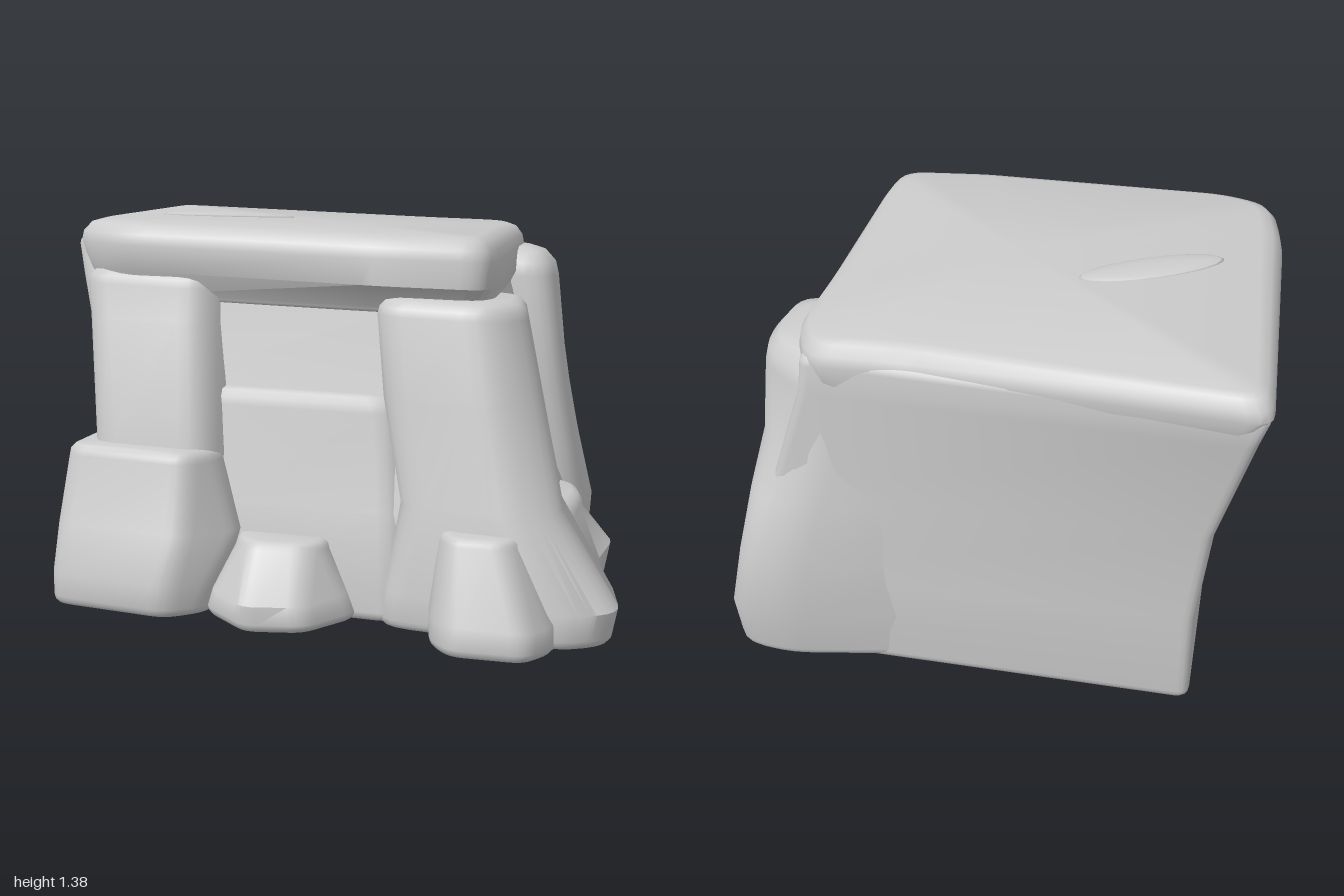
import * as THREE from 'three';
import { toCreasedNormals } from 'three/addons/utils/BufferGeometryUtils.js';

const stone = new THREE.MeshStandardMaterial({ color: 0xcccccc });
stone.name = 'stone';

// Rounds the corners of a closed [x, z] outline
function roundOutline(pts, r, steps = 5) {
  const out = [];
  pts.forEach((p, i) => {
    const c = new THREE.Vector2(...p);
    const toward = (q) => {
      const d = new THREE.Vector2(...q).sub(c);
      return c.clone().add(d.multiplyScalar(Math.min(0.45, r / d.length())));
    };
    const a = toward(pts[(i + pts.length - 1) % pts.length]);
    const b = toward(pts[(i + 1) % pts.length]);
    out.push(...new THREE.QuadraticBezierCurve(a, c, b).getPoints(steps - 1));
  });
  return out;
}

const middle = (ring) =>
  ring.reduce((s, p) => s.add(p), new THREE.Vector2()).divideScalar(ring.length);

// Pulls an outline toward its middle by about d
function inset(ring, d) {
  const m = middle(ring);
  return ring.map((p) => {
    const v = p.clone().sub(m);
    return p.clone().sub(v.multiplyScalar(Math.min(0.9, d / v.length())));
  });
}

// Weathered block: levels are [y, outline], with softened top and bottom edges
function rock(name, levels, { round = 0.09, top = 0.06, bottom = 0.03 } = {}) {
  const rings = levels.map(([y, pts]) => ({ y, pts: roundOutline(pts, round) }));
  const first = rings[0], last = rings[rings.length - 1];
  const bevel = (ring, b, s) => [0.3, 0.65, 1].map((k) => ({
    y: ring.y + s * b * Math.sin(k * Math.PI / 2),
    pts: inset(ring.pts, b * (1 - Math.cos(k * Math.PI / 2))),
  }));
  const all = [...bevel(first, bottom, -1).reverse(), ...rings, ...bevel(last, top, 1)];
  const n = first.pts.length, pos = [], idx = [];
  const put = (x, y, z) => pos.push(x, y - 0.035 * x, z); // whole outcrop leans slightly
  all.forEach((r) => r.pts.forEach((p) => put(p.x, r.y, p.y)));
  for (let i = 0; i < all.length - 1; i++) {
    for (let j = 0; j < n; j++) {
      const a = i * n + j, b = i * n + (j + 1) % n;
      idx.push(a, b, b + n, a, b + n, a + n);
    }
  }
  for (const [k, up] of [[0, false], [all.length - 1, true]]) {
    const m = middle(all[k].pts), c = pos.length / 3;
    put(m.x, all[k].y, m.y);
    for (let j = 0; j < n; j++) {
      const a = k * n + j, b = k * n + (j + 1) % n;
      idx.push(c, up ? a : b, up ? b : a);
    }
  }
  const g = new THREE.BufferGeometry();
  g.setAttribute('position', new THREE.Float32BufferAttribute(pos, 3));
  g.setIndex(idx);
  const mesh = new THREE.Mesh(toCreasedNormals(g, 0.75), stone);
  mesh.name = name;
  return mesh;
}

export function createModel() {
  const group = new THREE.Group();
  group.name = 'rockOutcrop';

  // Main mass: flush left and back walls, recessed front and right faces
  group.add(rock('core', [
    [0.08, [[-0.8, -0.87], [-0.79, 0.66], [0.75, 0.7], [0.87, 0.25], [0.83, -0.8]]],
    [0.4, [[-0.8, -0.87], [-0.79, 0.62], [0.68, 0.64], [0.74, 0.2], [0.74, -0.82]]],
    [0.75, [[-0.84, -0.88], [-0.82, 0.52], [0.62, 0.54], [0.65, 0.2], [0.67, -0.81]]],
    [1.15, [[-0.95, -0.95], [-0.91, 0.44], [0.52, 0.47], [0.55, 0.2], [0.54, -0.82]]],
    [1.25, [[-0.98, -0.975], [-0.93, 0.42], [0.5, 0.45], [0.53, 0.2], [0.53, -0.82]]],
  ], { round: 0.04, top: 0.03 }));

  // Overhanging slab on top
  group.add(rock('capSlab', [
    [1.09, [[-0.92, -0.92], [-0.89, 0.2], [-0.86, 0.42], [-0.7, 0.46], [0.15, 0.5],
      [0.48, 0.5], [0.54, 0.4], [0.53, -0.28], [0.52, -0.6], [0.42, -0.8], [0.2, -0.81]]],
    [1.17, [[-0.95, -0.95], [-0.93, 0.2], [-0.9, 0.43], [-0.75, 0.51], [0.2, 0.61],
      [0.53, 0.59], [0.575, 0.45], [0.57, -0.3], [0.56, -0.65], [0.48, -0.83], [0.2, -0.835]]],
    [1.26, [[-0.99, -0.99], [-0.96, 0.2], [-0.92, 0.44], [-0.75, 0.52], [0.2, 0.61],
      [0.54, 0.59], [0.57, 0.45], [0.57, -0.3], [0.58, -0.65], [0.5, -0.84], [0.2, -0.845]]],
  ], { top: 0.08, bottom: 0.02, round: 0.08 }));

  // Columns
  group.add(rock('leftColumn', [
    [0.1, [[-0.78, -0.2], [-0.8, 0.7], [-0.35, 0.72], [-0.25, 0.4]]],
    [0.58, [[-0.79, -0.2], [-0.81, 0.67], [-0.4, 0.71], [-0.28, 0.4]]],
    [1.0, [[-0.86, -0.2], [-0.87, 0.53], [-0.44, 0.58], [-0.33, 0.35]]],
    [1.12, [[-0.88, -0.2], [-0.89, 0.49], [-0.44, 0.55], [-0.35, 0.35]]],
  ]));
  group.add(rock('rightColumn', [
    [0.07, [[0.2, 0.25], [0.2, 0.74], [0.83, 0.84], [0.99, 0.73], [0.97, 0.38]]],
    [0.16, [[0.21, 0.25], [0.22, 0.75], [0.84, 0.85], [1.01, 0.74], [0.97, 0.37]]],
    [0.45, [[0.25, 0.28], [0.27, 0.7], [0.66, 0.77], [0.81, 0.64], [0.79, 0.28]]],
    [0.8, [[0.19, 0.15], [0.2, 0.65], [0.6, 0.71], [0.74, 0.56], [0.71, 0.2]]],
    [1.07, [[0.16, 0.1], [0.17, 0.6], [0.56, 0.65], [0.68, 0.5], [0.65, 0.14]]],
  ]));
  group.add(rock('backColumn', [
    [0.09, [[0, -0.78], [0.1, -0.4], [0.82, -0.42], [0.87, -0.6], [0.83, -0.84], [0.62, -0.88]]],
    [0.25, [[0, -0.78], [0.1, -0.38], [0.82, -0.38], [0.88, -0.58], [0.84, -0.87], [0.63, -0.91]]],
    [0.48, [[0, -0.78], [0.1, -0.35], [0.79, -0.35], [0.82, -0.55], [0.8, -0.86], [0.62, -0.91]]],
    [0.72, [[0, -0.78], [0.1, -0.33], [0.75, -0.32], [0.78, -0.5], [0.75, -0.82], [0.56, -0.87]]],
    [0.87, [[0, -0.78], [0.1, -0.32], [0.73, -0.31], [0.76, -0.5], [0.73, -0.68], [0.52, -0.84]]],
    [1.15, [[0, -0.78], [0.1, -0.3], [0.69, -0.31], [0.73, -0.48], [0.71, -0.66], [0.5, -0.83]]],
  ], { top: 0.11 }));

  // Ledges at the foot of the two recesses
  group.add(rock('frontStep', [
    [0.08, [[-0.45, 0.2], [-0.45, 0.68], [0.3, 0.73], [0.3, 0.2]]],
    [0.4, [[-0.45, 0.2], [-0.45, 0.63], [0.28, 0.65], [0.28, 0.2]]],
    [0.73, [[-0.45, 0.2], [-0.45, 0.56], [0.25, 0.57], [0.25, 0.2]]],
  ]));
  group.add(rock('sideLedge', [
    [0.07, [[0.4, -0.44], [0.4, 0.5], [0.9, 0.5], [0.9, 0.2], [0.95, -0.2], [0.84, -0.42]]],
    [0.17, [[0.4, -0.44], [0.4, 0.5], [0.91, 0.5], [0.91, 0.2], [0.97, -0.18], [0.85, -0.42]]],
    [0.29, [[0.4, -0.4], [0.4, 0.5], [0.83, 0.45], [0.83, 0.2], [0.86, -0.18], [0.8, -0.38]]],
  ], { top: 0.07 }));

  // Boulders along the front
  group.add(rock('leftBoulder', [
    [0.08, [[-0.87, 0.35], [-0.91, 0.84], [-0.48, 0.91], [-0.36, 0.8], [-0.3, 0.4]]],
    [0.16, [[-0.87, 0.33], [-0.91, 0.84], [-0.47, 0.92], [-0.34, 0.78], [-0.29, 0.4]]],
    [0.32, [[-0.87, 0.31], [-0.9, 0.8], [-0.44, 0.86], [-0.28, 0.67], [-0.28, 0.4]]],
    [0.55, [[-0.86, 0.3], [-0.88, 0.73], [-0.44, 0.79], [-0.36, 0.66], [-0.34, 0.4]]],
  ], { top: 0.04, round: 0.06 }));
  group.add(rock('middleBoulder', [
    [0.08, [[-0.38, 0.5], [-0.37, 0.8], [-0.2, 0.97], [0, 0.93], [0.13, 0.73], [0.13, 0.5]]],
    [0.14, [[-0.36, 0.5], [-0.35, 0.8], [-0.2, 0.97], [-0.01, 0.92], [0.1, 0.73], [0.1, 0.5]]],
    [0.28, [[-0.3, 0.5], [-0.29, 0.7], [-0.22, 0.79], [-0.03, 0.77], [0.03, 0.7], [0.03, 0.5]]],
  ], { top: 0.03, round: 0.05 }));
  group.add(rock('rightBoulder', [
    [0.06, [[0.36, 0.6], [0.4, 0.88], [0.47, 0.97], [0.72, 0.97], [0.8, 0.85], [0.82, 0.6]]],
    [0.13, [[0.36, 0.6], [0.4, 0.88], [0.47, 0.96], [0.72, 0.97], [0.8, 0.85], [0.82, 0.6]]],
    [0.36, [[0.4, 0.6], [0.41, 0.74], [0.46, 0.84], [0.64, 0.84], [0.69, 0.76], [0.7, 0.6]]],
  ], { top: 0.03, round: 0.05 }));

  // Small raised flake on the slab
  const flake = new THREE.Mesh(new THREE.SphereGeometry(1, 24, 10), stone);
  flake.name = 'topFlake';
  flake.scale.set(0.26, 0.02, 0.075);
  flake.rotation.set(0, 0.42, -0.035);
  flake.position.set(-0.53, 1.357, -0.17);
  group.add(flake);

  return group;
}
